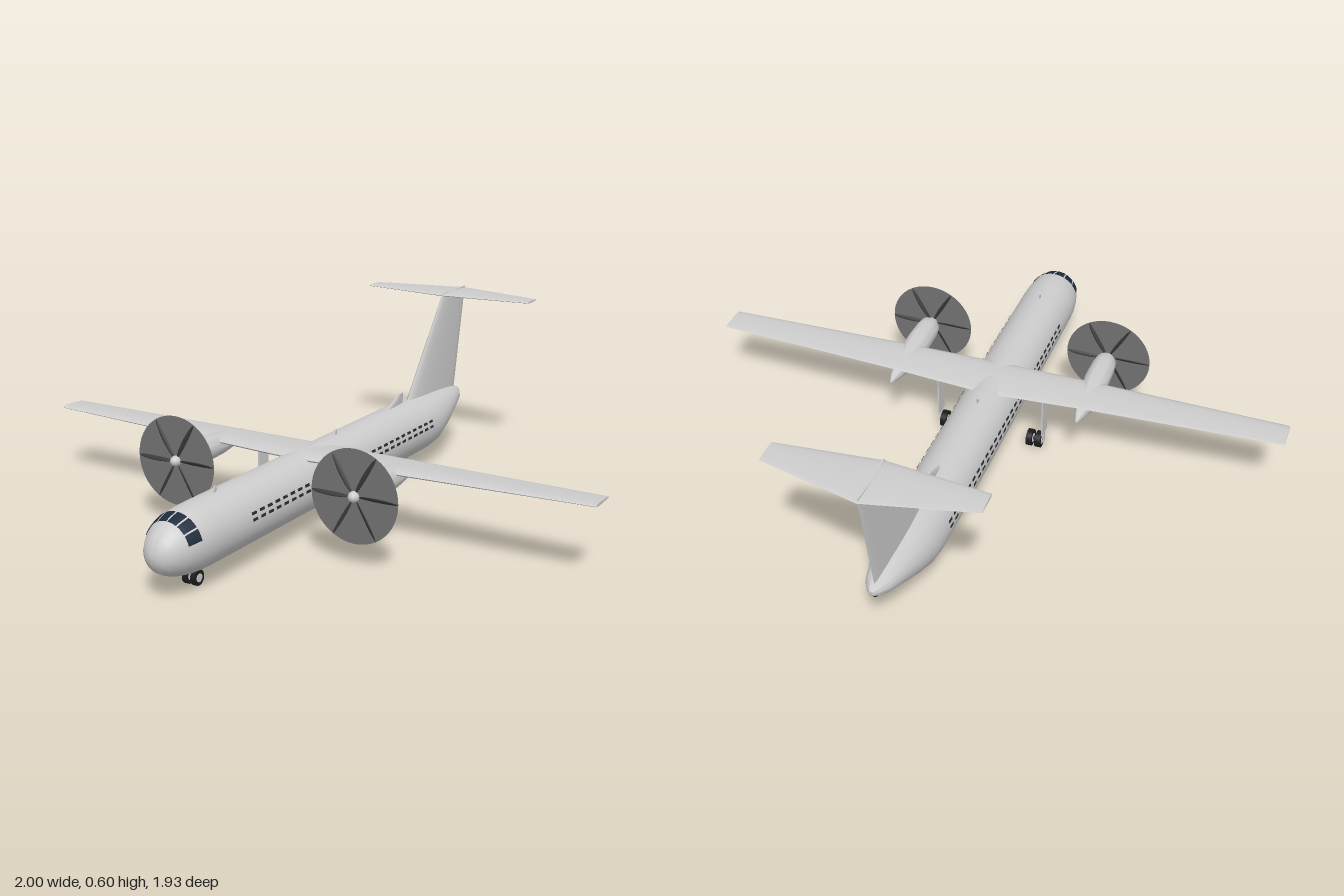
import * as THREE from 'three';
import { mergeGeometries, mergeVertices, toCreasedNormals } from 'three/addons/utils/BufferGeometryUtils.js';

const V = (x, y, z) => new THREE.Vector3(x, y, z);
const rad = THREE.MathUtils.degToRad;
const mat = (name, color, side = THREE.FrontSide) => {
  const m = new THREE.MeshStandardMaterial({ color, side });
  m.name = name;
  return m;
};

// Skin over closed rings of points; rings run counter-clockwise about the loft direction
function loft(rings, crease = 0.7) {
  const n = rings[0].length, pos = [], idx = [];
  rings.forEach(r => r.forEach(p => pos.push(p.x, p.y, p.z)));
  for (let i = 0; i < rings.length - 1; i++) {
    for (let j = 0; j < n; j++) {
      const a = i * n + j, b = i * n + (j + 1) % n;
      idx.push(a, b, b + n, a, b + n, a + n);
    }
  }
  const last = (rings.length - 1) * n;
  for (let j = 1; j < n - 1; j++) {
    idx.push(0, j + 1, j, last, last + j, last + j + 1);
  }
  const g = new THREE.BufferGeometry();
  g.setAttribute('position', new THREE.Float32BufferAttribute(pos, 3));
  g.setIndex(idx);
  return toCreasedNormals(g, crease);
}

const ring = (n, f) => Array.from({ length: n }, (_, j) => f(j / n * Math.PI * 2));

// Aerofoil sections: front and back in z, h is half the thickness
const foil = (a, front, back, h) => ({
  z: (front + back) / 2 + Math.cos(a) * (front - back) / 2,
  t: h * Math.sin(a) * (0.9 + 0.35 * Math.cos(a)),
});
const flatFoil = (x, y, front, back, h) => ring(20, a => {
  const f = foil(-a, front, back, h);
  return V(x, y + f.t, f.z);
});
const uprightFoil = (y, front, back, h) => ring(20, a => {
  const f = foil(a, front, back, h);
  return V(f.t, y, f.z);
});

// Fuselage stations: z, top, bottom, half width
const stations = [
  [-0.91, 0.212, 0.196, 0.008], [-0.895, 0.217, 0.182, 0.02], [-0.86, 0.226, 0.162, 0.04],
  [-0.78, 0.238, 0.125, 0.062], [-0.7, 0.245, 0.088, 0.081], [-0.63, 0.249, 0.059, 0.092],
  [-0.58, 0.25, 0.051, 0.096], [-0.52, 0.25, 0.05, 0.098], [0.76, 0.25, 0.05, 0.098],
  [0.81, 0.248, 0.051, 0.096], [0.85, 0.243, 0.055, 0.09], [0.88, 0.235, 0.061, 0.083],
  [0.9, 0.227, 0.067, 0.076], [0.92, 0.215, 0.076, 0.065], [0.94, 0.198, 0.088, 0.052],
  [0.955, 0.177, 0.106, 0.034], [0.962, 0.16, 0.122, 0.018], [0.965, 0.144, 0.138, 0.003],
];
function hull(z, a, out = 0) {
  let i = 0;
  while (i < stations.length - 2 && z > stations[i + 1][0]) i++;
  const p = stations[i], q = stations[i + 1], k = (z - p[0]) / (q[0] - p[0]);
  const [top, bottom, w] = [1, 2, 3].map(c => p[c] + (q[c] - p[c]) * k);
  return V(Math.cos(a) * (w + out), (top + bottom) / 2 + Math.sin(a) * ((top - bottom) / 2 + out), z);
}

// Thin pane that follows the fuselage skin
function pane(zs, a0, a1, steps) {
  const pos = [], idx = [];
  zs.forEach(z => {
    for (let j = 0; j <= steps; j++) pos.push(...hull(z, rad(a0 + (a1 - a0) * j / steps), 0.0025).toArray());
  });
  const n = steps + 1;
  for (let i = 0; i < zs.length - 1; i++) {
    for (let j = 0; j < steps; j++) {
      const a = i * n + j;
      idx.push(a, a + 1, a + n + 1, a, a + n + 1, a + n);
    }
  }
  const g = new THREE.BufferGeometry();
  g.setAttribute('position', new THREE.Float32BufferAttribute(pos, 3));
  g.setIndex(idx);
  g.computeVertexNormals();
  return g;
}

export function createModel() {
  const model = new THREE.Group();
  model.name = 'airliner';
  const white = mat('bodyGrey', 0xcccccc);
  const glass = mat('cockpitGlass', 0x1f2c3c, THREE.DoubleSide);
  const dark = mat('windowDark', 0x2a2a2a, THREE.DoubleSide);
  const tyre = mat('tyreBlack', 0x1c1c1c);
  const disc = mat('propellerDisc', 0x727272, THREE.DoubleSide);
  const blade = mat('bladeDark', 0x3a3a3a);
  const add = (name, geo, m, parent = model) => {
    const mesh = new THREE.Mesh(geo, m);
    mesh.name = name;
    parent.add(mesh);
    return mesh;
  };

  add('fuselage', loft(stations.map(s => ring(40, a => hull(s[0], a))), 1.0), white);

  // Cockpit panes
  const panes = [];
  for (let i = 0; i < 6; i++) panes.push(pane([0.85, 0.88, 0.897], 16 + i * 25, 37.5 + i * 25, 5));
  add('cockpitWindows', mergeGeometries(panes), glass);

  // Two rows of dashes on each side of the cabin
  const dashes = [];
  for (let i = 0; i < 28; i++) {
    const z = -0.53 + i * 0.0415;
    for (const a of [5, 16]) {
      dashes.push(pane([z, z + 0.025], a, a + 5, 2), pane([z, z + 0.025], 175 - a, 180 - a, 2));
    }
  }
  add('cabinWindows', mergeGeometries(dashes), dark);

  // Wings and T-tail
  add('wings', loft([
    flatFoil(-1, 0.25, 0.21, 0.105, 0.005), flatFoil(-0.33, 0.242, 0.235, 0.078, 0.012),
    flatFoil(-0.04, 0.237, 0.244, 0.062, 0.014), flatFoil(0.04, 0.237, 0.244, 0.062, 0.014),
    flatFoil(0.33, 0.242, 0.235, 0.078, 0.012), flatFoil(1, 0.25, 0.21, 0.105, 0.005),
  ]), white);
  add('tailplane', loft([
    flatFoil(-0.328, 0.59, -0.805, -0.888, 0.004), flatFoil(0, 0.59, -0.772, -0.965, 0.008),
    flatFoil(0.328, 0.59, -0.805, -0.888, 0.004),
  ]), white);
  add('fin', loft([
    uprightFoil(0.2, -0.475, -0.88, 0.02), uprightFoil(0.245, -0.508, -0.89, 0.018),
    uprightFoil(0.598, -0.775, -0.96, 0.007),
  ]), white);

  // Dorsal fairing and small aerials
  add('dorsalFairing', loft([
    uprightFoil(0.24, -0.335, -0.475, 0.006), uprightFoil(0.27, -0.405, -0.477, 0.005),
    uprightFoil(0.287, -0.44, -0.48, 0.003),
  ]), white);
  for (const [z, y0, y1] of [[0.67, 0.245, 0.267], [-0.01, 0.245, 0.267], [0.335, 0.03, 0.055]]) {
    const up = y0 > 0.1;
    add('aerial', loft([
      uprightFoil(y0, z + 0.012, z - (up ? 0.01 : 0.003), 0.003),
      uprightFoil(y1, z + (up ? 0 : 0.015), z - 0.012, 0.003),
    ]), white);
  }
  const tailLight = add('tailLight', new THREE.SphereGeometry(0.01, 12, 8), dark);
  tailLight.position.set(0, 0.178, -0.882);

  // Engines: z, centre height, half width, half height
  const pod = [
    [0.03, 0.222, 0.003, 0.003], [0.06, 0.222, 0.014, 0.016], [0.12, 0.221, 0.028, 0.028],
    [0.2, 0.221, 0.039, 0.038], [0.28, 0.222, 0.043, 0.043], [0.36, 0.222, 0.041, 0.042],
    [0.395, 0.222, 0.036, 0.037], [0.414, 0.222, 0.024, 0.025],
  ];
  const podGeo = loft(pod.map(([z, y, w, h]) => ring(28, a => V(Math.cos(a) * w, y + Math.sin(a) * h, z))), 1.0);
  const wheel = (r, w, x, y, z, parent) => {
    const t = add('tyre', new THREE.CylinderGeometry(r, r, w, 24).rotateZ(Math.PI / 2), tyre, parent);
    const h = add('hub', new THREE.CylinderGeometry(r * 0.55, r * 0.55, w + 0.003, 20).rotateZ(Math.PI / 2), white, parent);
    t.position.set(x, y, z);
    h.position.set(x, y, z);
  };

  for (const s of [-1, 1]) {
    const engine = new THREE.Group();
    engine.name = s > 0 ? 'leftEngine' : 'rightEngine';
    engine.position.x = s * 0.33;
    model.add(engine);
    add('nacelle', podGeo, white, engine);
    const prop = new THREE.Group();
    prop.name = 'propeller';
    prop.position.set(0, 0.222, 0.424);
    engine.add(prop);
    add('spinner', new THREE.SphereGeometry(0.018, 20, 14).scale(1, 1, 1.25), white, prop);
    add('sweptDisc', new THREE.CircleGeometry(0.149, 48), disc, prop);
    for (let i = 0; i < 6; i++) {
      const g = new THREE.SphereGeometry(1, 10, 12).scale(0.011, 0.068, 0.003);
      g.rotateY(rad(38)).translate(0, 0.08, 0).rotateZ(rad(30 + i * 60));
      add('blade', g, blade, prop);
    }

    // Main gear: flat leg on the outside, twin wheels inside
    const gear = new THREE.Group();
    gear.name = s > 0 ? 'leftMainGear' : 'rightMainGear';
    model.add(gear);
    add('leg', new THREE.BoxGeometry(0.005, 0.175, 0.054), white, gear).position.set(s * 0.189, 0.152, 0.138);
    add('axle', new THREE.CylinderGeometry(0.007, 0.007, 0.055, 12).rotateZ(Math.PI / 2), dark, gear)
      .position.set(s * 0.162, 0.03, 0.138);
    add('axleLink', new THREE.BoxGeometry(0.005, 0.045, 0.014), white, gear).position.set(s * 0.189, 0.047, 0.138);
    for (const x of [0.142, 0.174]) wheel(0.029, 0.02, s * x, 0.029, 0.138, gear);
  }

  // Nose gear
  const nose = new THREE.Group();
  nose.name = 'noseGear';
  model.add(nose);
  add('strut', new THREE.CylinderGeometry(0.006, 0.006, 0.05, 12), white, nose).position.set(0, 0.045, 0.783);
  add('axle', new THREE.CylinderGeometry(0.006, 0.006, 0.03, 12).rotateZ(Math.PI / 2), dark, nose)
    .position.set(0, 0.025, 0.783);
  for (const x of [-0.015, 0.015]) wheel(0.024, 0.015, x, 0.025, 0.783, nose);

  return model;
}
